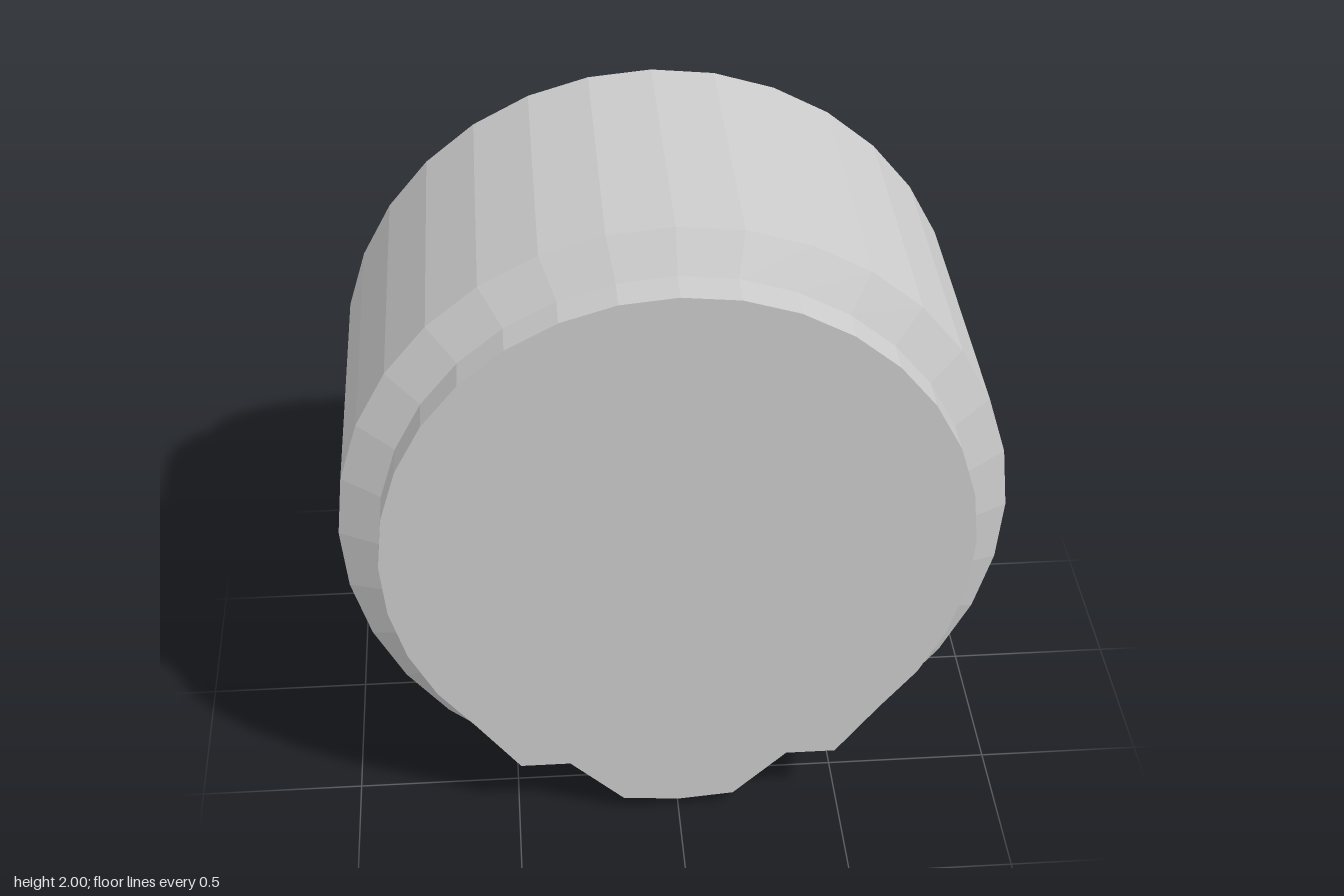
import * as THREE from 'three';

const SIDES = 32;
const material = new THREE.MeshStandardMaterial({ color: 0xcccccc, flatShading: true, side: THREE.DoubleSide });

// Outline of points around the axis, starting at the bottom, anticlockwise from the front
function ring(radius) {
  return Array.from({ length: SIDES }, (_, i) => {
    const a = (i / SIDES) * Math.PI * 2;
    return new THREE.Vector2(Math.sin(a) * radius, 1 - Math.cos(a) * radius);
  });
}

// Lip outline: a circle with a stepped foot at the bottom
function lipOutline() {
  const points = ring(0.88);
  [0.035, 0.05, 0.205, 0.205].forEach((y, i) => {
    points[i].y = y;
    points[(SIDES - i) % SIDES].y = y;
  });
  return points;
}

// Flat-sided wall between two outlines; the first one is nearer the front
function wall(name, front, zFront, back, zBack) {
  const positions = [];
  for (let i = 0; i < SIDES; i++) {
    const j = (i + 1) % SIDES;
    const a = [front[i].x, front[i].y, zFront], b = [front[j].x, front[j].y, zFront];
    const c = [back[i].x, back[i].y, zBack], d = [back[j].x, back[j].y, zBack];
    positions.push(...a, ...c, ...b, ...b, ...c, ...d);
  }
  const geometry = new THREE.BufferGeometry();
  geometry.setAttribute('position', new THREE.Float32BufferAttribute(positions, 3));
  geometry.computeVertexNormals();
  const mesh = new THREE.Mesh(geometry, material);
  mesh.name = name;
  return mesh;
}

export function createModel() {
  const group = new THREE.Group();
  group.name = 'openCanister';
  const body = ring(1), lip = lipOutline();
  const zBody = 0.49, zLip = 0.555, zEnd = 0.67;

  // Hollow shell from front to back
  group.add(
    wall('frontLip', lip, zEnd, lip, zLip),
    wall('frontBevel', lip, zLip, body, zBody),
    wall('barrel', body, zBody, body, -zBody),
    wall('backBevel', body, -zBody, lip, -zLip),
    wall('backLip', lip, -zLip, lip, -zEnd),
  );

  // Closed front; the back stays open
  const cap = new THREE.Mesh(new THREE.ShapeGeometry(new THREE.Shape(lip)), material);
  cap.name = 'frontCap';
  cap.position.z = zEnd;
  group.add(cap);
  return group;
}
